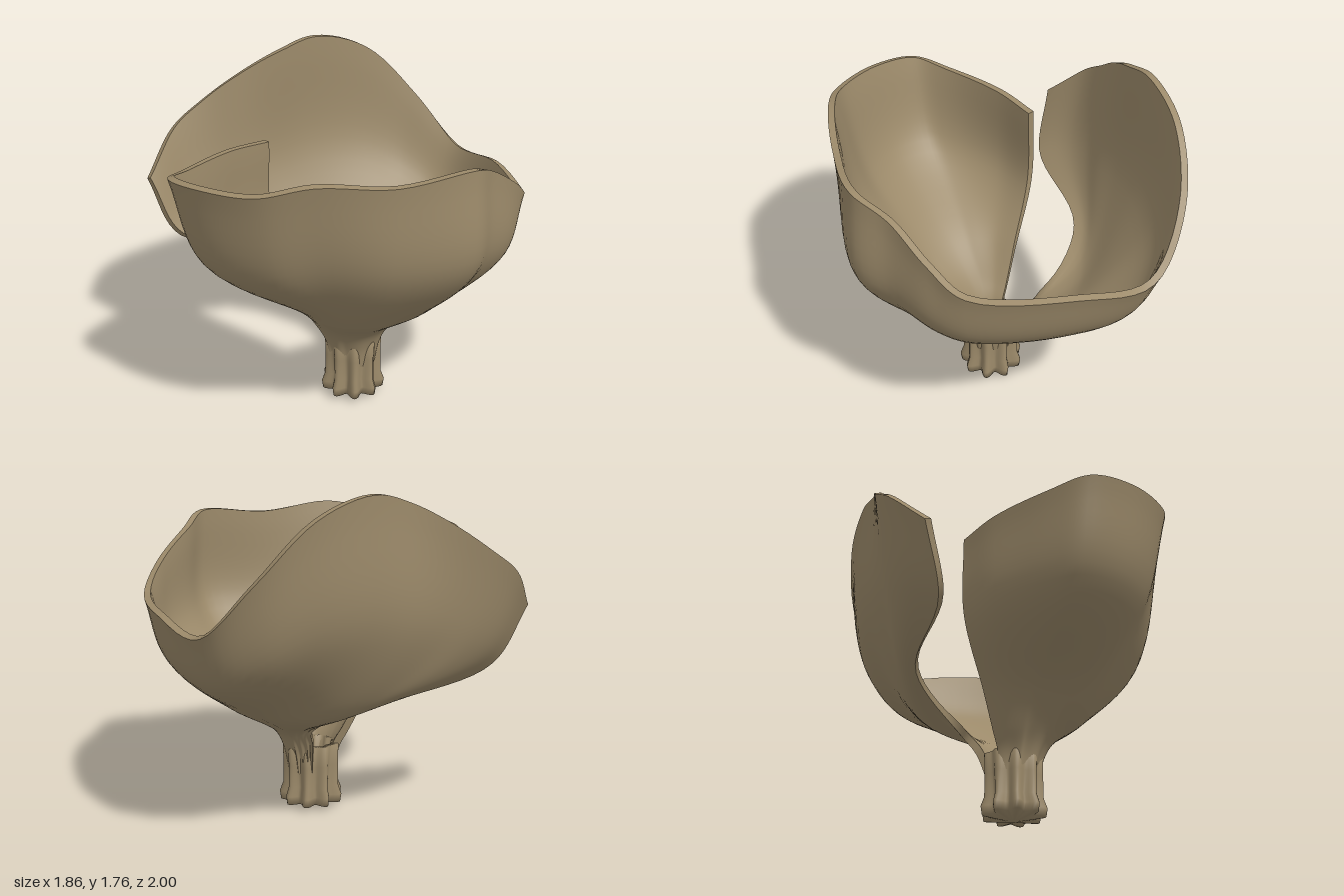
import * as THREE from 'three';
import { mergeGeometries } from 'three/addons/utils/BufferGeometryUtils.js';

const AXIS_X = 0.09, AXIS_Z = 0.01;

// Point at an angle in degrees and a radius about the stem axis
function polar(deg, radius, y) {
  const a = THREE.MathUtils.degToRad(deg);
  return new THREE.Vector3(AXIS_X + radius * Math.cos(a), y, AXIS_Z + radius * Math.sin(a));
}

// Rim from the front slit edge round to the free flap:
// angle, radius, height, shoulder radius as a share of the rim radius
const RIM = [
  [157, 0.5, 1.38, 0.98], [135, 0.64, 1.4, 0.95], [115, 0.88, 1.41, 0.87],
  [105, 1, 1.45, 0.85], [90, 0.99, 1.48, 0.86], [72, 0.94, 1.5, 0.84],
  [56, 0.85, 1.55, 0.84], [29, 0.77, 1.51, 0.93], [1, 0.82, 1.54, 0.99],
  [-14, 0.78, 1.46, 0.98], [-30, 0.83, 1.32, 0.95], [-43, 0.87, 1.19, 0.9],
  [-77, 0.92, 1.15, 0.88], [-100, 1.02, 1.11, 0.86], [-116, 1.02, 1.38, 0.87],
  [-132, 0.93, 1.66, 0.9], [-151, 0.83, 1.76, 0.95], [-166, 0.81, 1.71, 0.97],
  [-180, 0.89, 1.6, 0.92], [-191, 1.01, 1.46, 0.88], [-200, 1.09, 1.34, 0.86],
  [-212, 1.13, 1.13, 0.85],
];

// One rib of the wall, from inside the stem up to the rim
function rib([deg, radius, height, share], k) {
  const t = k / (RIM.length - 1);
  const flap = THREE.MathUtils.clamp(t * 3.3 - 2.3, 0, 1);
  const neckDeg = deg < -88 ? -88 + (deg + 88) * 0.36 : deg;
  const bellyDeg = THREE.MathUtils.lerp(neckDeg, deg, 0.55);
  return new THREE.CatmullRomCurve3([
    polar(neckDeg, 0.12, 0.2),
    polar(neckDeg, 0.15 + 0.04 * flap, 0.33 + 0.05 * flap),
    polar(neckDeg, 0.205 + 0.07 * flap, 0.43 + 0.06 * flap),
    polar(bellyDeg, 0.3 + 0.21 * Math.min(1, t * 1.7) + 0.07 * flap, 0.61 + 0.07 * flap),
    polar(deg, radius * share, 0.37 + 0.42 * height - 0.03 * flap),
    polar(deg, radius, height),
  ]);
}

// Builds a sheet from a grid function; the normal faces du x dv
function sheet(nu, nv, at) {
  const pos = [], idx = [];
  for (let j = 0; j <= nv; j++) {
    for (let i = 0; i <= nu; i++) pos.push(...at(i, j).toArray());
  }
  for (let j = 0; j < nv; j++) {
    for (let i = 0; i < nu; i++) {
      const a = j * (nu + 1) + i, b = a + 1, c = a + nu + 1, d = c + 1;
      idx.push(a, b, d, a, d, c);
    }
  }
  const g = new THREE.BufferGeometry();
  g.setAttribute('position', new THREE.Float32BufferAttribute(pos, 3));
  g.setIndex(idx);
  g.computeVertexNormals();
  return g;
}

// Thick curled bowl with an open slit
function bowlGeometry() {
  const NU = 126, NV = 40, THICKNESS = 0.035;
  const ribs = RIM.map(rib);
  const rows = [];
  for (let j = 0; j <= NV; j++) {
    const ring = new THREE.CatmullRomCurve3(ribs.map((r) => r.getPoint(j / NV)));
    rows.push(ring.getPoints(NU));
  }
  const normals = sheet(NU, NV, (i, j) => rows[j][i]).attributes.normal;
  const offset = (i, j, d) => new THREE.Vector3()
    .fromBufferAttribute(normals, j * (NU + 1) + i).multiplyScalar(d).add(rows[j][i]);
  // soft pleats fade out above the neck
  const outer = (i, j) => offset(i, j, 0.008 * Math.max(0, 1 - (1.7 * j) / NV) * Math.cos(i * 0.45));
  const inner = (i, j) => offset(i, j, -THICKNESS);
  return mergeGeometries([
    sheet(NU, NV, outer),
    sheet(NU, NV, (i, j) => inner(NU - i, j)),
    sheet(NU, 1, (i, j) => (j ? inner(i, NV) : outer(i, NV))),
    sheet(1, NV, (i, j) => (i ? outer(0, j) : inner(0, j))),
    sheet(1, NV, (i, j) => (i ? inner(NU, j) : outer(NU, j))),
  ]);
}

// Hollow fluted stem with a star-shaped foot; rows are radius, height
function stemGeometry() {
  const N = 90;
  const rows = [
    [0, 0], [0.14, 0.025], [0.148, 0.07], [0.134, 0.12], [0.138, 0.24],
    [0.145, 0.35], [0.11, 0.35], [0.085, 0.22], [0.08, 0.07], [0, 0.05],
  ];
  return sheet(N, rows.length - 1, (i, j) => {
    const [radius, y] = rows[j];
    const flute = 1 + (0.19 - 0.38 * y) * Math.cos((i / N) * Math.PI * 18);
    return polar((-360 * i) / N, radius * flute, y);
  });
}

export function createModel() {
  const group = new THREE.Group();
  group.name = 'curledCup';
  const tan = new THREE.MeshStandardMaterial({ color: 0x9c8a6a, side: THREE.DoubleSide });
  tan.name = 'driedTan';
  const bowl = new THREE.Mesh(bowlGeometry(), tan);
  bowl.name = 'bowl';
  const stem = new THREE.Mesh(stemGeometry(), tan);
  stem.name = 'stem';
  group.add(bowl, stem);
  return group;
}
